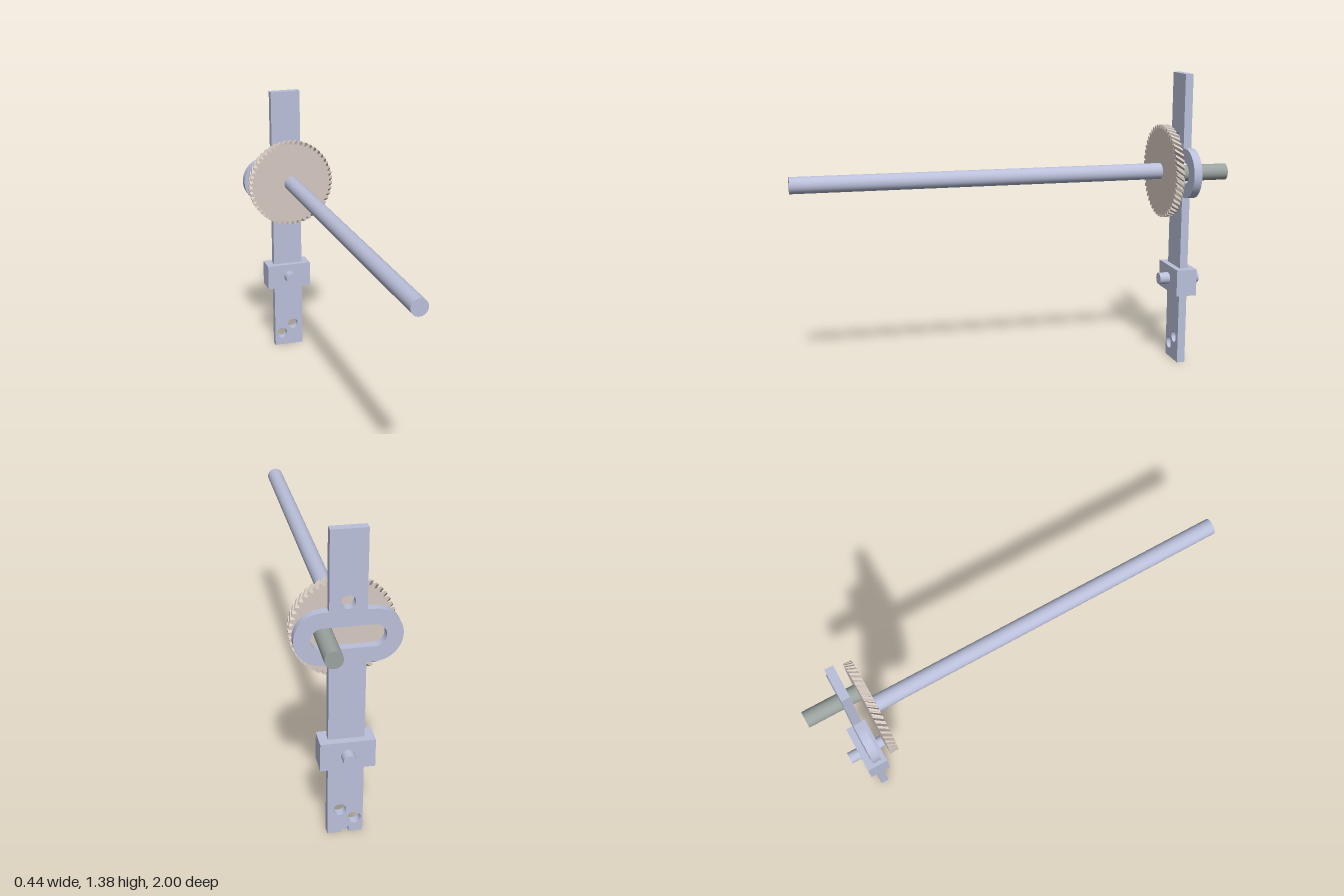
import * as THREE from 'three';

const paint = (name, color) => {
  const m = new THREE.MeshStandardMaterial({ color });
  m.name = name;
  return m;
};

const AXIS_Y = 0.925;

export function createModel() {
  const steel = paint('blueSteel', 0xbac0da);
  const tan = paint('tanGear', 0xd6cac1);
  const grey = paint('greyPin', 0x9aa39f);
  const group = new THREE.Group();
  group.name = 'scotchYoke';

  const add = (name, geometry, material, x = 0, y = 0, z = 0) => {
    const mesh = new THREE.Mesh(geometry, material);
    mesh.name = name;
    mesh.position.set(x, y, z);
    group.add(mesh);
  };

  // Round rod lying along z
  const rod = (name, r, x, y, z0, z1, material) => {
    const g = new THREE.CylinderGeometry(r, r, z1 - z0, 40).rotateX(Math.PI / 2);
    add(name, g, material, x, y, (z0 + z1) / 2);
  };

  const hole = (x, y, r) => new THREE.Path().absarc(x, y, r, 0, Math.PI * 2, true);

  // Slider bar widening into an obround yoke, with slot and holes
  const yokeShape = (notched) => {
    const w = 0.075, e = 0.103, r = 0.115, x0 = -0.003;
    const s = new THREE.Shape();
    s.moveTo(-w, 0);
    if (notched) {
      s.lineTo(-0.016, 0);
      s.lineTo(-0.016, 0.025);
      s.lineTo(0.016, 0.025);
      s.lineTo(0.016, 0);
    }
    s.lineTo(w, 0);
    s.lineTo(w, AXIS_Y - r);
    s.absarc(x0 + e, AXIS_Y, r, -Math.PI / 2, Math.PI / 2, false);
    s.lineTo(w, AXIS_Y + r);
    s.lineTo(w, 1.38);
    s.lineTo(-w, 1.38);
    s.lineTo(-w, AXIS_Y + r);
    s.absarc(x0 - e, AXIS_Y, r, Math.PI / 2, Math.PI * 1.5, false);
    s.lineTo(-w, AXIS_Y - r);
    s.closePath();
    const slot = new THREE.Path();
    slot.absarc(x0 + e, AXIS_Y, 0.048, -Math.PI / 2, Math.PI / 2, false);
    slot.absarc(x0 - e, AXIS_Y, 0.048, Math.PI / 2, Math.PI * 1.5, false);
    slot.closePath();
    s.holes.push(slot, hole(0, 1.077, 0.029), hole(-0.038, 0.068, 0.028), hole(0.023, 0.115, 0.027));
    return s;
  };
  const plate = (shape, depth) =>
    new THREE.ExtrudeGeometry(shape, { depth, bevelEnabled: false, curveSegments: 24 });
  add('yokeBarFront', plate(yokeShape(false), 0.019), steel, 0, 0, -0.816);
  add('yokeBarBack', plate(yokeShape(true), 0.019), steel, 0, 0, -0.835);

  // Guide block and its cross pin
  add('guideBlock', new THREE.BoxGeometry(0.228, 0.126, 0.098), steel, -0.001, 0.403, -0.818);
  rod('guidePin', 0.028, -0.001, 0.403, -0.915, -0.72, steel);

  // Helical gear: toothed outline twisted along its depth
  const teeth = 48, tip = 0.217, root = 0.2, depth = 0.038, twist = 0.13;
  const outline = [];
  for (let i = 0; i < teeth; i++) {
    for (const [f, r] of [[0, root], [0.22, root], [0.4, tip], [0.82, tip]]) {
      const a = ((i + f) / teeth) * Math.PI * 2;
      outline.push(new THREE.Vector2(Math.cos(a) * r, Math.sin(a) * r));
    }
  }
  const gear = new THREE.ExtrudeGeometry(new THREE.Shape(outline), { depth, steps: 4, bevelEnabled: false });
  const p = gear.attributes.position;
  const v = new THREE.Vector3();
  const zAxis = new THREE.Vector3(0, 0, 1);
  for (let i = 0; i < p.count; i++) {
    v.fromBufferAttribute(p, i);
    v.applyAxisAngle(zAxis, (v.z / depth) * twist);
    p.setXYZ(i, v.x, v.y, v.z);
  }
  gear.computeVertexNormals();
  add('helicalGear', gear, tan, 0.002, AXIS_Y, -0.75);

  // Drive shaft in front, eccentric crank pin behind
  rod('driveShaft', 0.0375, 0.003, AXIS_Y, -0.715, 1, steel);
  rod('crankPin', 0.0375, 0.0875, AXIS_Y, -1, -0.748, grey);

  return group;
}
